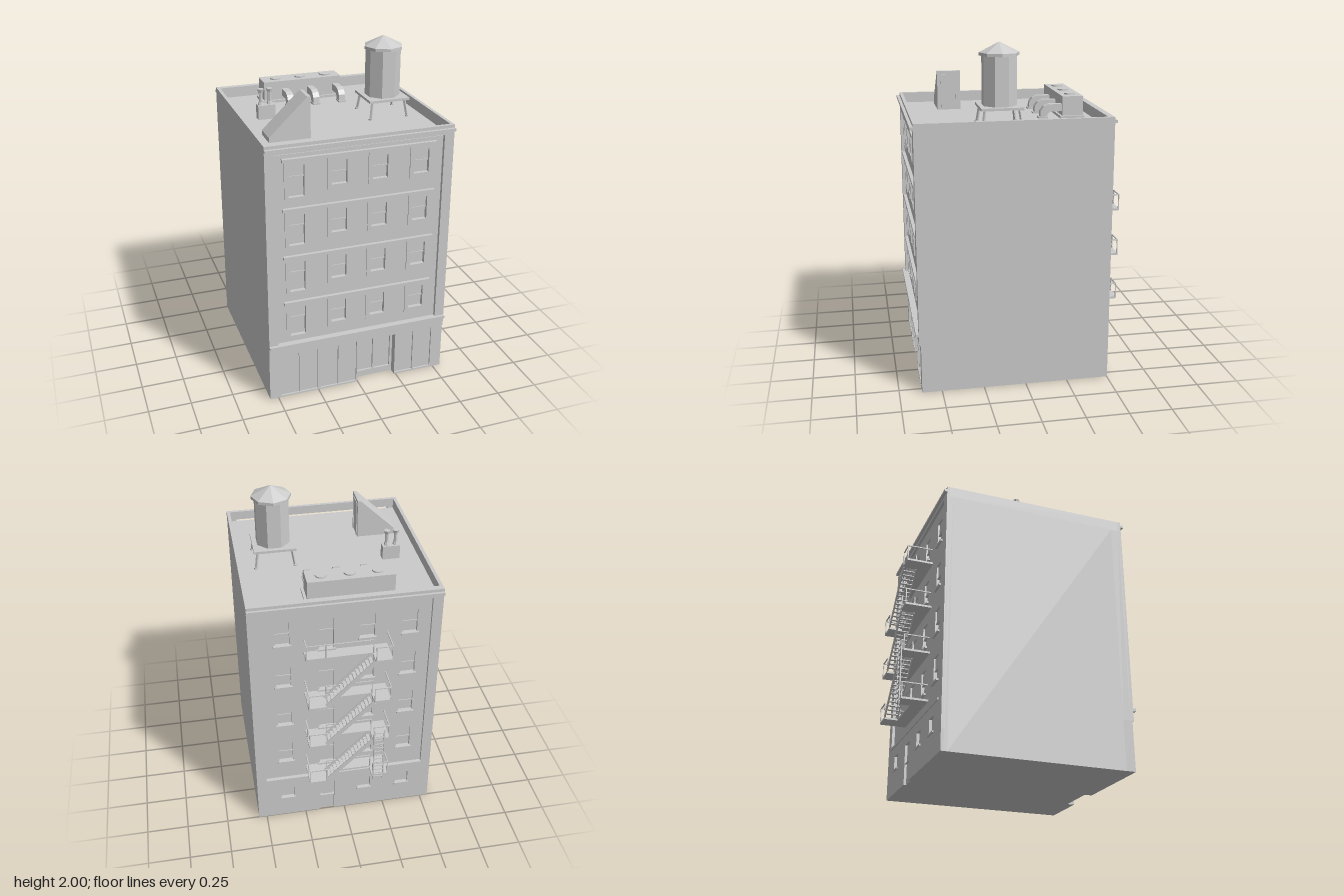
import * as THREE from 'three';

const mat = new THREE.MeshStandardMaterial({ color: 0xcccccc, flatShading: true });

export function createModel() {
  const model = new THREE.Group();
  model.name = 'apartmentBuilding';

  const group = (name) => {
    const g = new THREE.Group();
    g.name = name;
    model.add(g);
    return g;
  };
  const add = (parent, name, geo) => {
    const m = new THREE.Mesh(geo, mat);
    m.name = name;
    parent.add(m);
    return m;
  };
  // Box given by its limits on each axis
  const box = (parent, name, x0, x1, y0, y1, z0, z1) => {
    const m = add(parent, name, new THREE.BoxGeometry(x1 - x0, y1 - y0, z1 - z0));
    m.position.set((x0 + x1) / 2, (y0 + y1) / 2, (z0 + z1) / 2);
    return m;
  };
  const rect = (P, [x0, x1, y0, y1]) =>
    new P([[x0, y0], [x1, y0], [x1, y1], [x0, y1]].map(([x, y]) => new THREE.Vector2(x, y)));
  // Upright slab with rectangular openings, between two depths
  const wall = (parent, name, outline, holes, z0, z1) => {
    const s = rect(THREE.Shape, outline);
    s.holes = holes.map((h) => rect(THREE.Path, h));
    const m = add(parent, name, new THREE.ExtrudeGeometry(s, { depth: z1 - z0, bevelEnabled: false }));
    m.position.z = z0;
    return m;
  };
  // Thin bar between two points
  const bar = (parent, name, a, b, w = 0.006, h = w) => {
    const A = new THREE.Vector3(...a), B = new THREE.Vector3(...b);
    const m = add(parent, name, new THREE.BoxGeometry(w, h, A.distanceTo(B)));
    m.position.copy(A).lerp(B, 0.5);
    m.lookAt(B);
    return m;
  };
  const cyl = (parent, name, rt, rb, y0, y1, x, z, n) => {
    const m = add(parent, name, new THREE.CylinderGeometry(rt, rb, y1 - y0, n));
    m.position.set(x, (y0 + y1) / 2, z);
    return m;
  };

  const W = 0.55, ROOF = 1.53, TOP = 1.594;

  // Main block and parapet
  const body = group('body');
  box(body, 'core', -W, W, 0, ROOF, -0.466, 0.56);
  for (const s of [-1, 1]) box(body, 'sideParapet', s * 0.54 - 0.01, s * 0.54 + 0.01, ROOF, TOP, -0.485, 0.607);
  box(body, 'backParapet', -0.53, 0.53, ROOF, TOP, -0.485, -0.466);

  // Front facade: sash windows under a ledge on each of four floors
  const front = group('frontFacade');
  const frontHoles = [];
  for (let i = 0; i < 4; i++) {
    const y = 0.62 + 0.29 * i;
    box(front, 'windowLedge', -0.453, 0.447, y, y + 0.018, 0.607, 0.627);
    [-0.37, -0.125, 0.115, 0.363].forEach((x, c) => {
      const bottom = c ? y - 0.165 : y - 0.21;
      const low = c ? y - 0.192 : y - 0.219;
      const hole = [x - 0.045, x + 0.045, bottom, y - 0.026];
      frontHoles.push(hole);
      wall(front, 'windowTrim', [x - 0.069, x + 0.069, low, y], [hole], 0.607, 0.614);
      box(front, 'upperSash', x - 0.045, x + 0.045, y - 0.093, y - 0.026, 0.56, 0.597);
      box(front, 'lowerSash', x - 0.045, x + 0.045, bottom, y - 0.093, 0.56, 0.59);
      box(front, 'meetingRail', x - 0.045, x + 0.045, y - 0.097, y - 0.09, 0.59, 0.602);
    });
  }
  wall(front, 'frontWall', [-W, W, 0.295, ROOF], frontHoles, 0.56, 0.607);
  wall(front, 'frontSurround', [-W, W, 0.295, TOP], [[-0.495, 0.492, 0.37, 1.54]], 0.607, 0.627);
  box(front, 'shopCornice', -W, W, 0.353, 0.37, 0.627, 0.645);
  box(front, 'roofCornice', -W, W, 1.56, 1.576, 0.627, 0.645);

  // Shop front with recessed double doors
  const shop = group('shopFront');
  const pane = (x) => [x, x + 0.113, 0.01, 0.286];
  const panes = [[-0.482, -0.366, -0.239, -0.122].map(pane), [0.245, 0.366].map(pane)];
  wall(shop, 'shopWall', [-W, -0.005, 0, 0.295], panes[0], 0.56, 0.617);
  wall(shop, 'shopWall', [0.24, W, 0, 0.295], panes[1], 0.56, 0.617);
  for (const [x0, x1, y0, y1] of panes.flat()) box(shop, 'shopPane', x0, x1, y0, y1, 0.56, 0.607);
  box(shop, 'doorLintel', -0.005, 0.24, 0.286, 0.295, 0.56, 0.617);
  wall(shop, 'doorFrame', [-0.005, 0.24, 0, 0.286], [[0.01, 0.113, 0.04, 0.275], [0.122, 0.225, 0.04, 0.275]], 0.56, 0.572);

  // Rear facade: narrow windows with sills, and doors onto the fire escape
  const back = group('backFacade');
  const backHoles = [];
  for (let i = 0; i < 4; i++) {
    const y = 0.595 + 0.29 * i;
    for (const x of [-0.37, -0.125, 0.11, 0.36]) {
      const low = x === 0.11 ? y - 0.2 : y - 0.15;
      backHoles.push([x - 0.042, x + 0.042, low, y]);
      box(back, 'upperPane', x - 0.042, x + 0.042, y - 0.075, y, -0.475, -0.466);
      box(back, 'meetingRail', x - 0.042, x + 0.042, y - 0.08, y - 0.073, -0.48, -0.466);
      box(back, 'sill', x - 0.052, x + 0.052, low - 0.012, low, -0.497, -0.485);
    }
  }
  wall(back, 'backWall', [-W, W, 0, ROOF], [...backHoles], -0.485, -0.466);
  const lowHoles = [-0.37, -0.125, 0.36].map((x) => [x - 0.04, x + 0.04, 0.148, 0.235]);
  wall(back, 'backSurround', [-W, W, 0.12, TOP], [[-0.49, 0.49, 0.31, 1.54], [0.065, 0.155, 0.121, 0.235], ...lowHoles], -0.502, -0.485);
  box(back, 'backBase', -W, 0.065, 0, 0.12, -0.502, -0.485);
  box(back, 'backBase', 0.155, W, 0, 0.12, -0.502, -0.485);
  box(back, 'backDoor', 0.075, 0.145, 0, 0.225, -0.49, -0.485);
  for (const [x0, x1, y0] of lowHoles) box(back, 'sill', x0 - 0.008, x1 + 0.008, y0 - 0.01, y0, -0.51, -0.502);
  box(back, 'backLedge', -0.49, 0.49, 0.295, 0.31, -0.508, -0.485);
  box(back, 'backCornice', -W, W, 1.56, 1.576, -0.517, -0.502);

  // Fire escape: balconies, railings, stairs and a drop ladder
  const escape = group('fireEscape');
  const IN = -0.562, OUT = -0.638;
  for (let i = 0; i < 4; i++) {
    const y = 0.385 + 0.29 * i, r = y + 0.087, last = i === 3;
    box(escape, 'balconyFloor', -0.24, 0.24, y - 0.012, y, IN, -0.485);
    box(escape, 'landing', -0.24, -0.14, y - 0.012, y, OUT - 0.003, IN);
    if (!last) box(escape, 'landing', 0.13, 0.24, y - 0.012, y, OUT - 0.003, IN);
    const posts = [[-0.237, OUT], [-0.145, OUT], [-0.145, IN], [0.125, IN], [0.237, IN]];
    if (!last) posts.push([0.237, OUT], [0.135, OUT]);
    for (const [x, z] of posts) bar(escape, 'railPost', [x, y, z], [x, r, z]);
    bar(escape, 'endRail', [-0.237, r, -0.49], [-0.237, r, OUT]);
    bar(escape, 'endRail', [0.237, r, -0.49], [0.237, r, last ? IN : OUT]);
    bar(escape, 'outerRail', [-0.237, r, OUT], [-0.145, r, OUT]);
    bar(escape, 'innerRail', [-0.145, r, IN], [last ? 0.237 : 0.125, r, IN]);
    if (!last) bar(escape, 'outerRail', [0.135, r, OUT], [0.237, r, OUT]);
    if (i > 0) {
      // Flight down to the balcony below
      for (const z of [IN, OUT]) bar(escape, 'stringer', [-0.14, y - 0.01, z], [0.135, y - 0.285, z], 0.006, 0.024);
      for (let k = 1; k < 15; k++) {
        const x = -0.14 + (0.275 * k) / 15, ty = y - 0.005 - (0.285 * k) / 15;
        box(escape, 'tread', x - 0.009, x + 0.009, ty - 0.005, ty, OUT, IN);
      }
    }
  }
  for (const x of [-0.208, -0.148]) bar(escape, 'ladderRail', [x, 0.35, -0.643], [x, 0.74, -0.643], 0.007);
  for (let k = 0; k < 13; k++) bar(escape, 'ladderRung', [-0.208, 0.37 + k * 0.029, -0.643], [-0.148, 0.37 + k * 0.029, -0.643], 0.005);

  // Water tank on a splayed stand
  const tank = group('waterTank');
  const TX = 0.321, TZ = 0.116;
  box(tank, 'tankPlatform', 0.197, 0.445, 1.63, 1.645, -0.006, 0.238);
  for (const sx of [-1, 1]) for (const sz of [-1, 1]) {
    const foot = [TX + sx * 0.115, ROOF, TZ + sz * 0.113];
    bar(tank, 'tankLeg', foot, [TX + sx * 0.1, 1.632, TZ + sz * 0.098], 0.012);
    cyl(tank, 'tankFoot', 0.012, 0.012, ROOF, ROOF + 0.008, foot[0], foot[2], 8);
  }
  cyl(tank, 'tankBody', 0.103, 0.103, 1.645, 1.93, TX, TZ, 8).rotation.y = Math.PI / 8;
  cyl(tank, 'tankEave', 0.116, 0.116, 1.925, 1.942, TX, TZ, 8);
  cyl(tank, 'tankRoof', 0, 0.116, 1.942, 2, TX, TZ, 8);

  // Side-on profile swept along an axis
  const sweep = (parent, name, pts, depth) =>
    add(parent, name, new THREE.ExtrudeGeometry(new THREE.Shape(pts.map(([x, y]) => new THREE.Vector2(x, y))), { depth, bevelEnabled: false }));

  // Stair bulkhead with sloping back
  const hut = group('stairBulkhead');
  sweep(hut, 'bulkheadBody', [[-0.462, ROOF], [-0.222, ROOF], [-0.222, 1.77], [-0.24, 1.77], [-0.462, 1.558]], 0.142).position.z = 0.269;
  for (const z of [0.292, 0.384]) box(hut, 'doorJamb', -0.222, -0.218, ROOF, 1.75, z - 0.005, z + 0.005);
  box(hut, 'doorHead', -0.222, -0.218, 1.74, 1.75, 0.297, 0.379);

  // Roof ventilation unit with fans and bent ducts
  const vent = group('ventilationUnit');
  box(vent, 'unitCurb', -0.31, 0.218, ROOF, 1.545, -0.414, -0.27);
  box(vent, 'unitBody', -0.295, 0.202, 1.545, 1.66, -0.409, -0.284);
  for (const x of [-0.205, -0.047, 0.115]) cyl(vent, 'fan', 0.034, 0.034, 1.66, 1.668, x, -0.347, 12);
  for (const x of [-0.163, 0, 0.167]) {
    const duct = sweep(vent, 'duct', [[0.29, 1.57], [0.29, 1.613], [0.205, 1.613], [0.175, 1.601], [0.156, 1.575],
      [0.152, ROOF], [0.195, ROOF], [0.198, 1.555], [0.212, 1.57]].reverse(), 0.04);
    duct.rotation.y = Math.PI / 2;
    duct.position.x = x - 0.02;
    box(vent, 'ductFlange', x - 0.024, x + 0.024, ROOF, 1.54, -0.2, -0.144);
  }

  // Chimney with two pots
  const chimney = group('chimney');
  box(chimney, 'chimneyStack', -0.415, -0.311, ROOF, 1.615, -0.03, 0.02);
  for (const x of [-0.392, -0.339]) {
    cyl(chimney, 'potBase', 0.011, 0.018, 1.615, 1.635, x, -0.005, 6);
    cyl(chimney, 'potStem', 0.011, 0.011, 1.635, 1.69, x, -0.005, 6);
    cyl(chimney, 'potCap', 0.02, 0.015, 1.69, 1.71, x, -0.005, 6);
  }
  return model;
}
